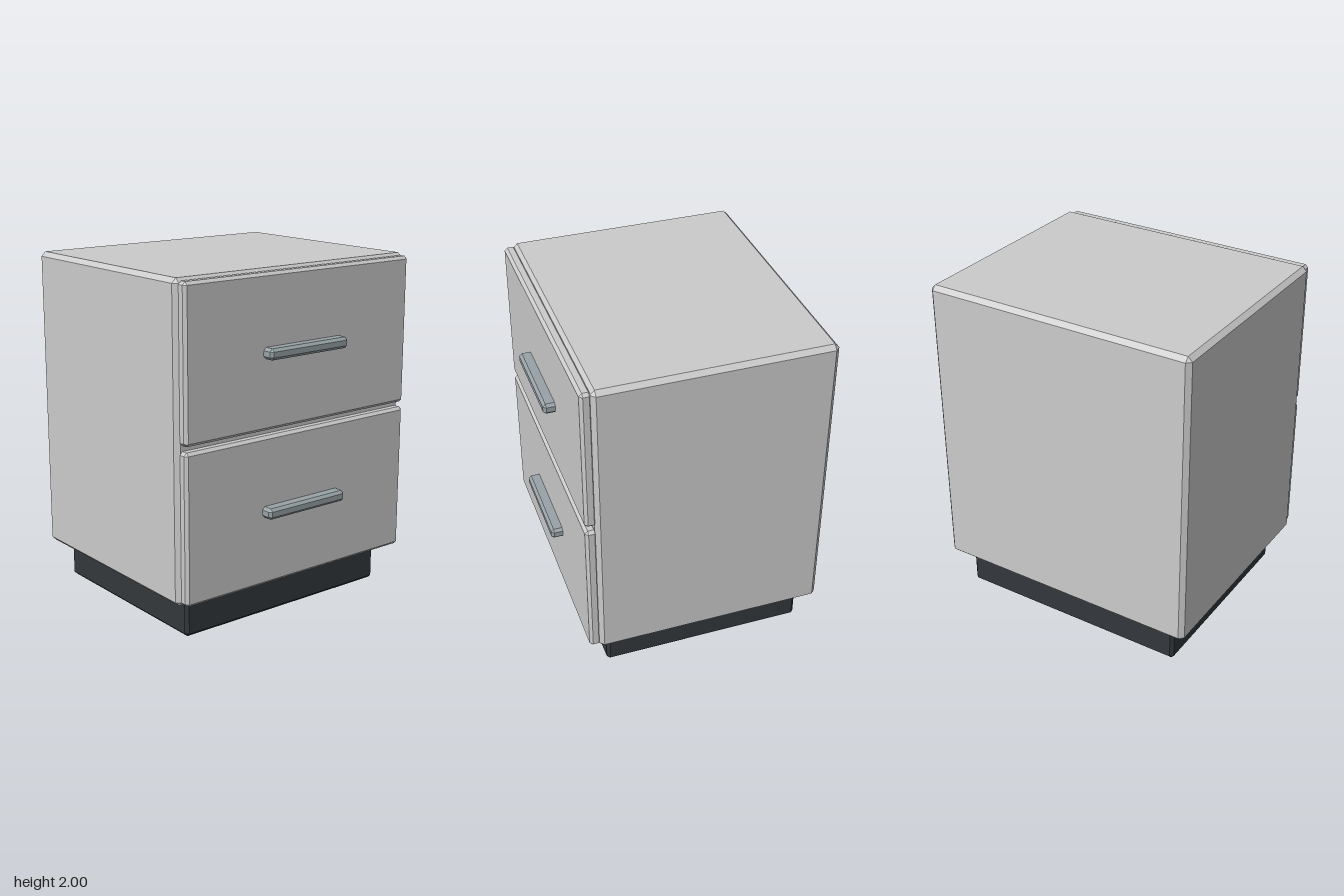
import * as THREE from 'three';
import { ConvexGeometry } from 'three/addons/geometries/ConvexGeometry.js';

const grey = new THREE.MeshStandardMaterial({ color: 0xcccccc, flatShading: true });
const metal = new THREE.MeshStandardMaterial({ color: 0x98a3a7, flatShading: true });
const dark = new THREE.MeshStandardMaterial({ color: 0x33383c, flatShading: true });

// Box between two corners with every edge chamfered by c
function chamferBox(name, min, max, c, material) {
  const half = min.map((v, i) => (max[i] - v) / 2);
  const points = [];
  for (const sx of [-1, 1]) for (const sy of [-1, 1]) for (const sz of [-1, 1]) {
    for (let face = 0; face < 3; face++) {
      // the point on one face keeps full extent there and is inset on the other two axes
      const [x, y, z] = half.map((h, i) => (i === face ? h : h - c));
      points.push(new THREE.Vector3(sx * x, sy * y, sz * z));
    }
  }
  const mesh = new THREE.Mesh(new ConvexGeometry(points), material);
  mesh.name = name;
  mesh.position.set(...min.map((v, i) => (v + max[i]) / 2));
  return mesh;
}

export function createModel() {
  const group = new THREE.Group();
  group.name = 'drawerCabinet';

  // Recessed plinth and main carcass
  group.add(chamferBox('plinth', [-0.71, 0, -0.65], [0.71, 0.26, 0.54], 0.018, dark));
  group.add(chamferBox('carcass', [-0.815, 0.225, -0.73], [0.815, 2, 0.61], 0.026, grey));

  // Two drawers, each a front panel with a bar handle
  ['lower', 'upper'].forEach((level, i) => {
    const drawer = new THREE.Group();
    drawer.name = level + 'Drawer';
    drawer.add(chamferBox('drawerFront', [-0.795, 0.238, 0.595], [0.795, 1.097, 0.663], 0.017, grey));
    drawer.add(chamferBox('drawerHandle', [-0.278, 0.637, 0.645], [0.278, 0.7, 0.73], 0.016, metal));
    drawer.position.y = i * 0.89;
    group.add(drawer);
  });

  return group;
}
